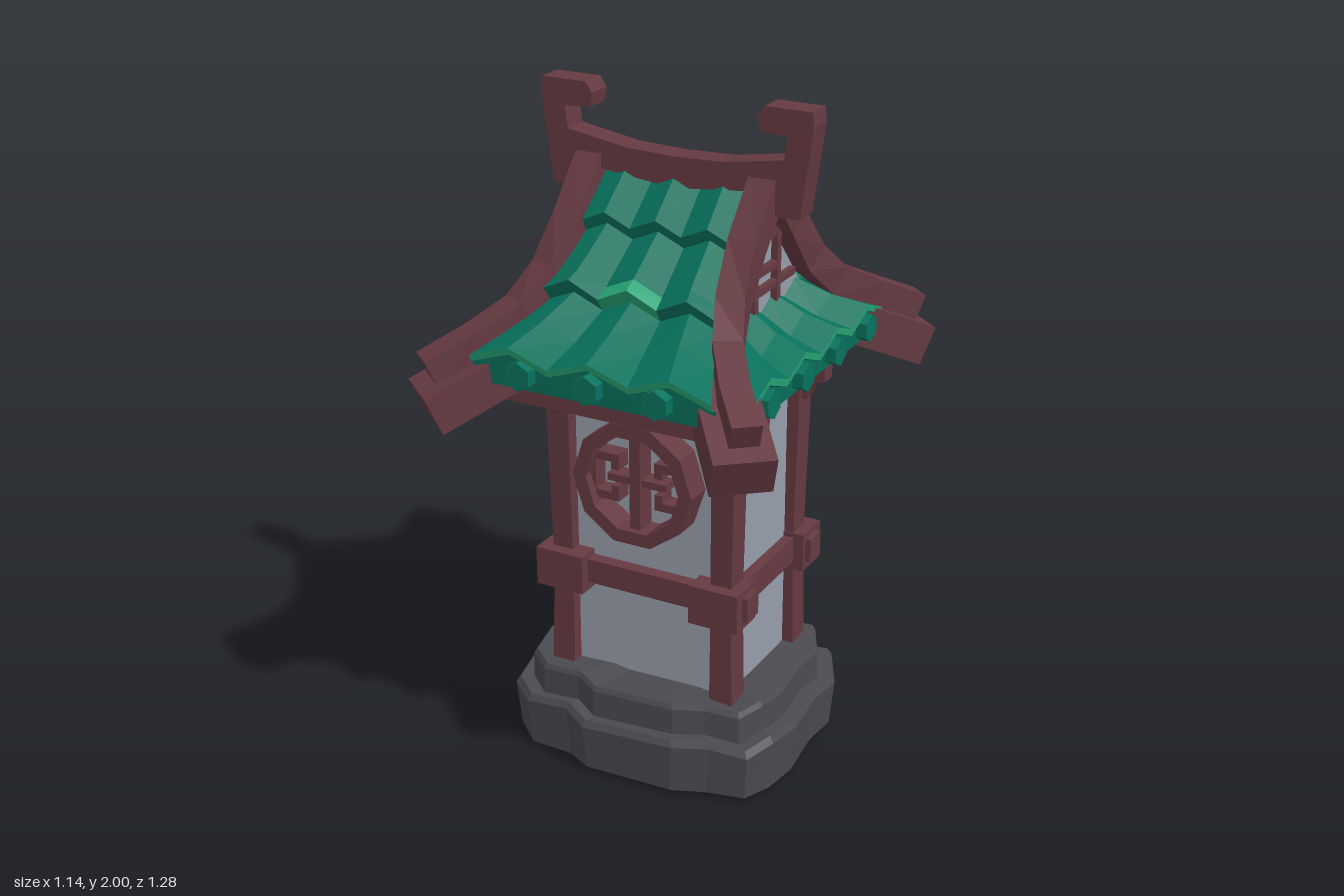
import * as THREE from 'three';

const mat = (name, color, side = THREE.FrontSide) => {
  const m = new THREE.MeshStandardMaterial({ color, side, flatShading: true });
  m.name = name;
  return m;
};

export function createModel() {
  const wood = mat('wood', 0x653a41);
  const plaster = mat('plaster', 0x979eab);
  const stone = mat('stone', 0x4b4a50);
  const green = mat('greenTile', 0x08735e, THREE.DoubleSide);
  const light = mat('lightTile', 0x28a878, THREE.DoubleSide);

  const model = new THREE.Group();
  model.name = 'shrineTower';
  const add = (name, geo, m, parent = model) => {
    const mesh = new THREE.Mesh(geo, m);
    mesh.name = name;
    parent.add(mesh);
    return mesh;
  };
  const box = (name, m, x, y, z, w, h, d, parent) => {
    const mesh = add(name, new THREE.BoxGeometry(w, h, d), m, parent);
    mesh.position.set(x, y, z);
    return mesh;
  };
  const shapeOf = (pts) => new THREE.Shape(pts.map((p) => new THREE.Vector2(...p)));
  const fromTriangles = (pos) => {
    const g = new THREE.BufferGeometry();
    g.setAttribute('position', new THREE.Float32BufferAttribute(pos.flatMap((p) => p.toArray()), 3));
    g.computeVertexNormals();
    return g;
  };
  // Closed solid through cross-section rings, turned outward by its volume
  const loft = (rings) => {
    const t = [];
    const n = rings[0].length;
    for (let i = 0; i < rings.length - 1; i++)
      for (let j = 0; j < n; j++) {
        const k = (j + 1) % n, a = rings[i], b = rings[i + 1];
        t.push(a[j], a[k], b[j], a[k], b[k], b[j]);
      }
    const cap = (r, flip) => {
      const c = r.reduce((s, p) => s.add(p), new THREE.Vector3()).divideScalar(n);
      for (let j = 0; j < n; j++) {
        const k = (j + 1) % n;
        t.push(c, flip ? r[k] : r[j], flip ? r[j] : r[k]);
      }
    };
    cap(rings[0], true);
    cap(rings[rings.length - 1], false);
    let volume = 0;
    const c = new THREE.Vector3();
    for (let i = 0; i < t.length; i += 3) volume += t[i].dot(c.crossVectors(t[i + 1], t[i + 2]));
    return fromTriangles(volume < 0 ? t.reverse() : t);
  };
  // Rectangular beam swept along points, kept level from side to side
  const beam = (pts, w, h) => {
    const P = pts.map((p) => new THREE.Vector3(...p));
    return loft(P.map((p, i) => {
      const dir = P[Math.min(i + 1, P.length - 1)].clone().sub(P[Math.max(i - 1, 0)]).normalize();
      const side = new THREE.Vector3(dir.z, 0, -dir.x).normalize();
      const up = new THREE.Vector3().crossVectors(dir, side).normalize();
      return [[-1, -1], [1, -1], [1, 1], [-1, 1]].map(([a, b]) =>
        p.clone().addScaledVector(side, a * w / 2).addScaledVector(up, b * h / 2));
    }));
  };
  const corners = [[1, 1], [1, -1], [-1, 1], [-1, -1]];

  // Rough two-tier stone base, bulging at the corners and mid-sides
  const outline = [[.44, .1], [.425, .22], [.385, .31], [.27, .335], [.17, .375], [-.12, .385], [-.2, .345],
    [-.34, .34], [-.43, .26], [-.455, .12], [-.44, -.12], [-.42, -.26], [-.34, -.335], [-.18, -.345],
    [-.1, -.385], [.15, -.38], [.22, -.335], [.36, -.33], [.43, -.2], [.42, -.08]];
  const ring = (s, y, wobble) => outline.map(([x, z], i) =>
    new THREE.Vector3(x * s, y + wobble * Math.sin(i * 2.3), z * s));
  add('lowerStone', loft([ring(.97, .015, 0), ring(1, .165, .01), ring(.97, .185, .01)]), stone);
  add('upperStone', loft([ring(.89, .17, 0), ring(.885, .265, .006), ring(.865, .28, .006)]), stone);

  // Walls, posts, belt blocks and curved corbels
  box('walls', plaster, 0, .72, 0, .53, .96, .41);
  const corbelGeo = new THREE.ExtrudeGeometry(
    shapeOf([[-.03, 0], [-.03, -.11], [.02, -.11], [.035, -.075], [.05, -.055], [.08, -.045], [.08, 0]]),
    { depth: .05, bevelEnabled: false }).translate(0, 0, -.025);
  const corbel = (name, x, z, turn) => {
    const c = add(name, corbelGeo, wood);
    c.position.set(x, 1.195, z);
    c.rotation.y = turn;
  };
  for (const [sx, sz] of corners) {
    const section = ([y, x0, x1, z0, z1]) => [[x0, z0], [x1, z0], [x1, z1], [x0, z1]]
      .map(([x, z]) => new THREE.Vector3(sx * x, y, sz * z));
    add('post', loft([[0, .228, .308, .165, .25], [.6, .228, .293, .165, .24], [1.2, .23, .305, .165, .248]]
      .map(section)), wood);
    box('beltBlock', wood, sx * .253, .595, sz * .219, .155, .12, .118);
    corbel('sideCorbel', sx * .295, sz * .205, sx > 0 ? 0 : Math.PI);
    corbel('frontCorbel', sx * .268, sz * .225, -sz * Math.PI / 2);
  }
  for (const s of [1, -1]) {
    box('frontRail', wood, 0, .6, s * .21, .695, .075, .07);
    box('sideRail', wood, s * .268, .6, 0, .06, .08, .42);
    box('sideTopRail', wood, s * .27, 1.2, 0, .07, .04, .42);
  }

  // Ten-sided lattice medallions on the front and back
  for (const turn of [0, Math.PI]) {
    const g = new THREE.Group();
    g.name = 'medallion';
    g.rotation.y = turn;
    model.add(g);
    const poly = (r) => Array.from({ length: 10 }, (_, i) =>
      [r * Math.cos(i * Math.PI / 5), r * Math.sin(i * Math.PI / 5)]);
    const shape = shapeOf(poly(.192));
    shape.holes.push(shapeOf(poly(.15)));
    const rim = add('rim', new THREE.ExtrudeGeometry(shape, { depth: .09, bevelEnabled: false }), wood, g);
    rim.position.set(0, .93, .2);
    box('centreBar', wood, 0, .93, .235, .034, .3, .07, g);
    box('crossBar', wood, 0, .93, .23, .19, .022, .06, g);
    for (const s of [1, -1]) {
      box('outerBar', wood, s * .147, .93, .23, .028, .145, .06, g);
      for (const v of [1, -1]) {
        box('hookBar', wood, s * .108, .93 + v * .06, .23, .1, .025, .06, g);
        box('hookTip', wood, s * .07, .93 + v * .045, .23, .025, .04, .06, g);
      }
    }
  }

  // Eave frame under the roof
  box('eaveFrame', wood, 0, 1.22, 0, .72, .06, .88);

  // Tiled slope: profile rows of [outward, height, half width, ridge amplitude, isLight(column)]
  const slope = (name, profile, peaks, turn, capOut, capY, capHalf) => {
    const g = new THREE.Group();
    g.name = name;
    g.rotation.y = turn;
    model.add(g);
    const at = ([out, y, hw, amp], j) =>
      new THREE.Vector3((j / peaks - 1) * hw, y + (j % 2 ? amp : 0), out);
    const sets = [[], []];
    for (let i = 0; i < profile.length - 1; i++)
      for (let j = 0; j < 2 * peaks; j++) {
        const a = at(profile[i], j), b = at(profile[i], j + 1);
        const c = at(profile[i + 1], j + 1), d = at(profile[i + 1], j);
        sets[profile[i][4] && profile[i][4](j) ? 1 : 0].push(a, d, b, b, d, c);
      }
    add('tiles', fromTriangles(sets[0]), green, g);
    add('lightTileEdges', fromTriangles(sets[1]), light, g);
    for (let j = 1; j < 2 * peaks; j += 2) {
      const cap = add('tileCap', new THREE.CylinderGeometry(.042, .042, .05, 6), green, g);
      cap.rotation.x = Math.PI / 2;
      cap.position.set((j / peaks - 1) * capHalf, capY, capOut);
    }
  };
  const all = () => true;
  const centre = (j) => j === 2 || j === 3;
  const mainProfile = [
    [.02, 1.745, .23, .035], [.145, 1.635, .24, .035], [.128, 1.6, .24, .035],
    [.265, 1.502, .262, .038, centre], [.305, 1.478, .275, .042, centre], [.28, 1.44, .27, .038],
    [.4, 1.385, .315, .04], [.52, 1.34, .37, .042, all], [.515, 1.32, .37, .042],
    [.5, 1.316, .375, .04], [.495, 1.258, .37, 0], [.4, 1.248, .34, 0]];
  const sideProfile = [
    [.25, 1.405, .29, .035], [.345, 1.35, .355, .038], [.443, 1.315, .42, .042, all], [.44, 1.294, .425, .042],
    [.428, 1.292, .432, .04], [.418, 1.236, .4, 0], [.33, 1.236, .36, 0]];
  for (const s of [0, 1]) {
    slope(s ? 'backRoof' : 'frontRoof', mainProfile, 3, s * Math.PI, .51, 1.31, .315);
    slope(s ? 'rightRoof' : 'leftRoof', sideProfile, 4, s ? -Math.PI / 2 : Math.PI / 2, .43, 1.285, .425);
  }

  // Gable ends with lattice
  add('gableWall', loft([-.255, .255].map((x) =>
    [[1.38, -.28], [1.38, .28], [1.72, 0]].map(([y, z]) => new THREE.Vector3(x, y, z)))), plaster);
  for (const s of [1, -1]) {
    for (const v of [1, -1]) box('gablePost', wood, s * .26, 1.53, v * .07, .03, .22, .024);
    for (const [y, len] of [[1.625, .15], [1.53, .15], [1.475, .36]])
      box('gableBar', wood, s * .26, y, 0, .026, .022, len);
  }

  // Curved hip beams with heavier corner beams below
  for (const [sx, sz] of corners) {
    const place = (pts) => pts.map(([x, y, z]) => [sx * x, y, sz * z]);
    add('hipBeam', beam(place([[.27, 1.79, -.01], [.27, 1.635, .125], [.283, 1.505, .23], [.32, 1.415, .33],
      [.4, 1.345, .45], [.488, 1.285, .555]]), .082, .09), wood);
    add('cornerBeam', beam(place([[.3, 1.31, .34], [.49, 1.18, .568]]), .17, .12), wood);
  }

  // Sagging ridge with hooked ends
  const half = [[.15, 1.83], [.335, 1.86], [.345, 1.925], [.262, 1.93], [.255, 1.97], [.275, 2], [.415, 2],
    [.42, 1.96], [.385, 1.7], [.24, 1.7], [.235, 1.76]];
  const ridgeShape = shapeOf([[0, 1.825], ...half, [0, 1.735], ...half.map(([x, y]) => [-x, y]).reverse()]);
  add('ridge', new THREE.ExtrudeGeometry(ridgeShape, { depth: .08, bevelEnabled: false }), wood).position.z = -.04;

  return model;
}
